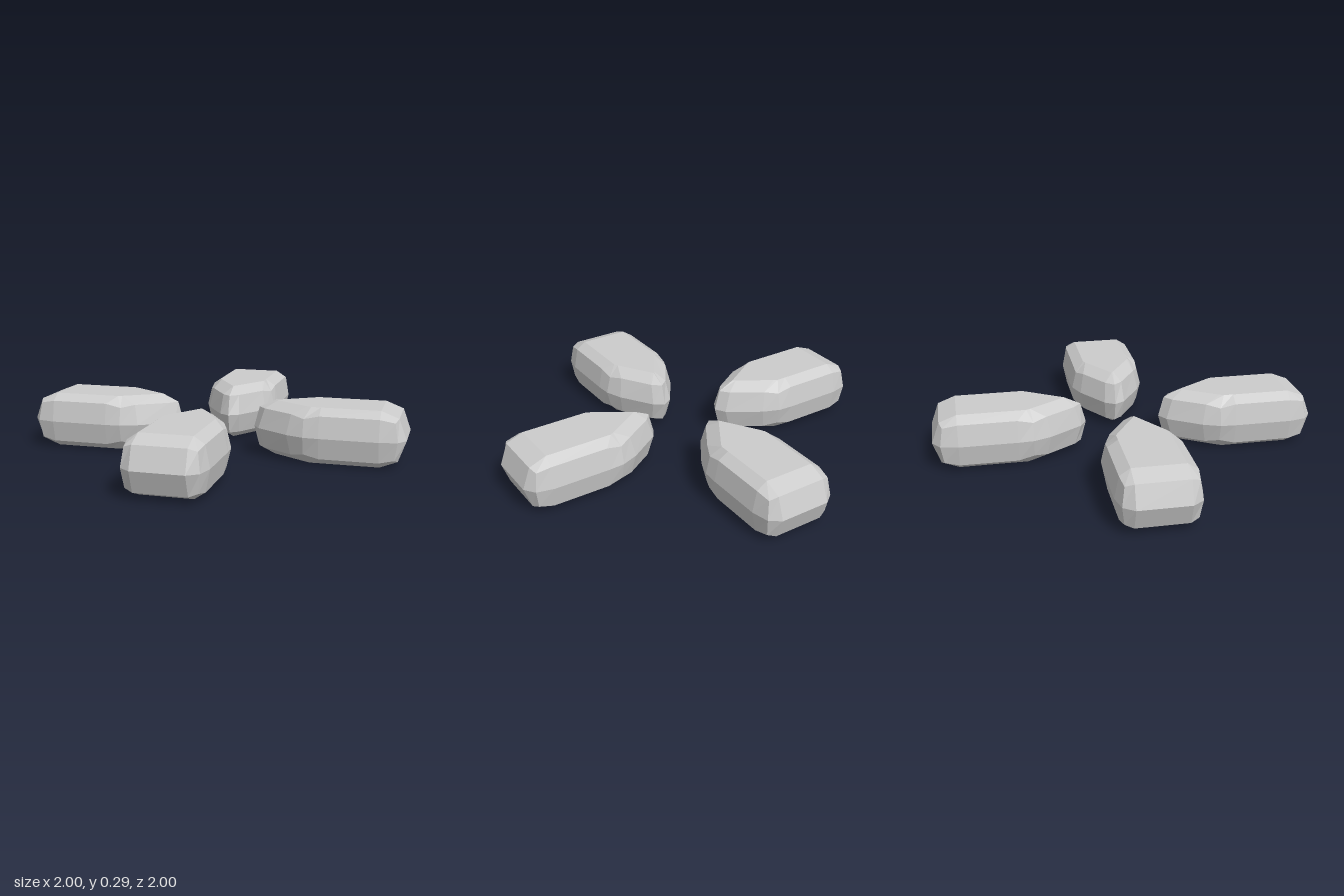
import * as THREE from 'three';

// Half outlines [x, y, z] from the inner tip, along one side, to the outer end.
const H = 0.29;
const middle = [
  [0, 0.145, 0.197], [0.055, 0.145, 0.23], [0.165, 0.145, 0.4], [0.2, 0.145, 0.49],
  [0.205, 0.145, 0.57], [0.205, 0.145, 0.87], [0.185, 0.145, 0.96], [0.13, 0.145, 1],
];
const shoulder = [
  [0, 0.25, 0.225], [0.045, 0.25, 0.262], [0.145, 0.25, 0.42], [0.178, 0.236, 0.49],
  [0.183, 0.255, 0.57], [0.183, 0.255, 0.87], [0.172, 0.24, 0.945], [0.13, 0.255, 0.96],
];
const flat = [
  [0, H, 0.31], [0.01, H, 0.325], [0.12, H, 0.5], [0.13, H, 0.52],
  [0.13, H, 0.57], [0.13, H, 0.87], [0.13, H, 0.87], [0.13, H, 0.87],
];

// Mirror a half outline across x = 0 into a closed ring
function ring(half) {
  const left = half.slice(1).reverse().map(([x, y, z]) => [-x, y, z]);
  return [...half, ...left].map((p) => new THREE.Vector3(...p));
}

const flip = (half) => half.map(([x, y, z]) => [x, H - y, z]);

// Bevelled arrow-shaped button: stacked rings joined by facets, capped flat
function buttonGeometry() {
  const rings = [flip(flat), flip(shoulder), middle, shoulder, flat].map(ring);
  const n = rings[0].length;
  const points = [];
  const triangle = (a, b, c) => {
    if (new THREE.Triangle(a, b, c).getArea() > 1e-7) points.push(a, b, c);
  };
  for (let r = 0; r < rings.length - 1; r++) {
    for (let i = 0; i < n; i++) {
      const j = (i + 1) % n;
      const a = rings[r][i], b = rings[r][j], c = rings[r + 1][j], d = rings[r + 1][i];
      triangle(a, d, b);
      triangle(b, d, c);
    }
  }
  const bottom = new THREE.Vector3(0, 0, 0.7);
  const top = new THREE.Vector3(0, H, 0.7);
  for (let i = 0; i < n; i++) {
    const j = (i + 1) % n;
    triangle(bottom, rings[0][i], rings[0][j]);
    triangle(top, rings[4][j], rings[4][i]);
  }
  const geometry = new THREE.BufferGeometry().setFromPoints(points);
  geometry.computeVertexNormals();
  return geometry;
}

export function createModel() {
  const group = new THREE.Group();
  group.name = 'directionalPad';
  const material = new THREE.MeshStandardMaterial({ color: 0xcccccc, flatShading: true });
  const geometry = buttonGeometry();
  // Four identical buttons pointing at the centre
  ['frontButton', 'leftButton', 'backButton', 'rightButton'].forEach((name, i) => {
    const button = new THREE.Mesh(geometry, material);
    button.name = name;
    button.rotation.y = (i * Math.PI) / 2;
    group.add(button);
  });
  return group;
}
